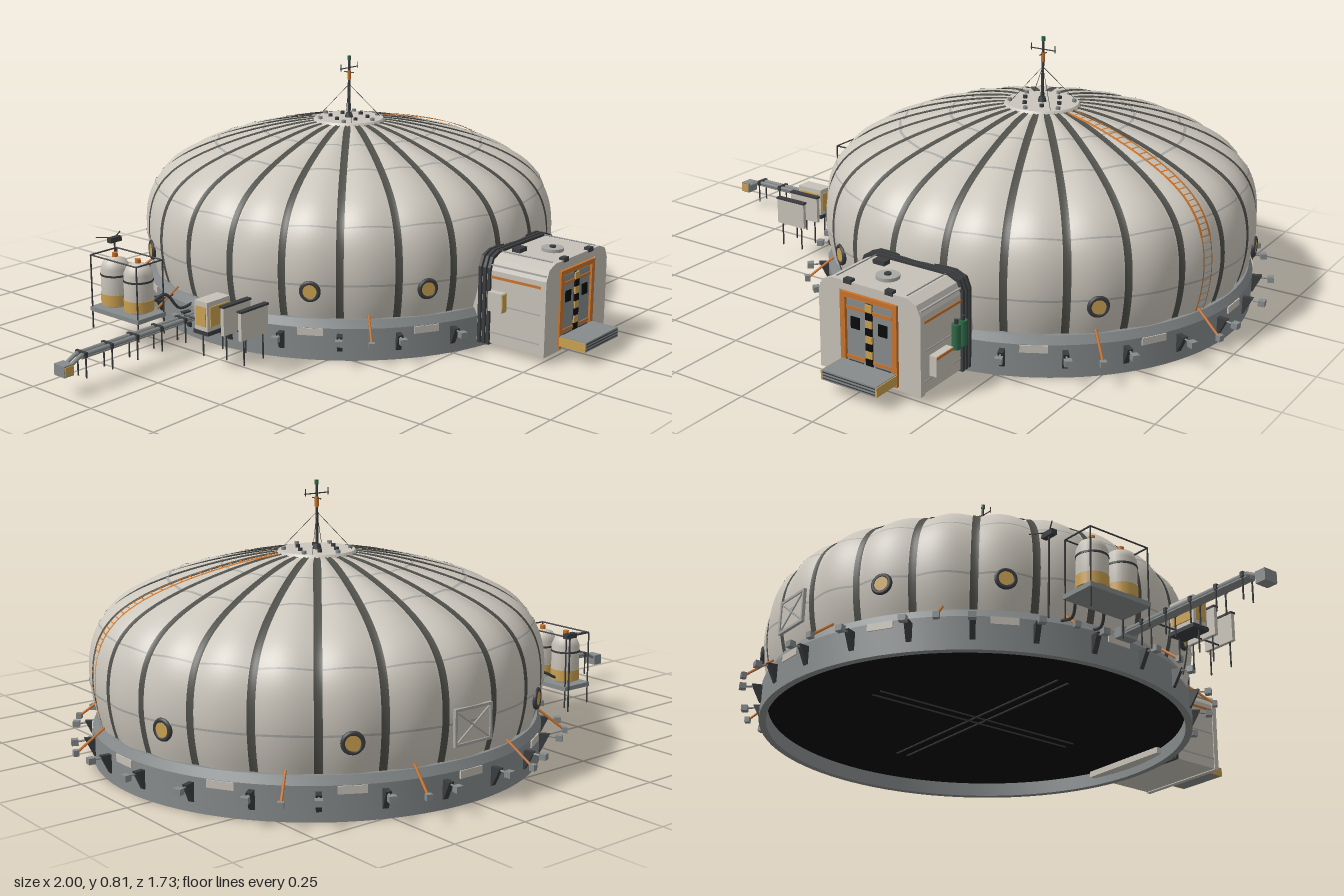
import * as THREE from 'three';
import { toCreasedNormals } from 'three/addons/utils/BufferGeometryUtils.js';

const mat = (name, color, side = THREE.FrontSide) => {
  const m = new THREE.MeshStandardMaterial({ color, side });
  m.name = name;
  return m;
};

export function createModel() {
  const D = THREE.DoubleSide;
  const fabric = mat('fabric', 0xcbc6bc, D), strapGrey = mat('strapGrey', 0x50504b, D);
  const steel = mat('steel', 0x878b8c), pale = mat('palePanel', 0xc6c1b8);
  const dark = mat('dark', 0x3a3c3e), black = mat('black', 0x0a0a0a);
  const orange = mat('orange', 0xc8732c, D), yellow = mat('yellow', 0xc9a050);
  const green = mat('green', 0x2f6b48), seamGrey = mat('seamGrey', 0xa8a9a4, D);

  const model = new THREE.Group();
  model.name = 'habitat';
  const group = (name, parent, x = 0, y = 0, z = 0) => {
    const g = new THREE.Group();
    g.name = name;
    g.position.set(x, y, z);
    parent.add(g);
    return g;
  };
  const add = (parent, name, geo, m, x = 0, y = 0, z = 0) => {
    const mesh = new THREE.Mesh(geo, m);
    mesh.name = name;
    mesh.position.set(x, y, z);
    parent.add(mesh);
    return mesh;
  };
  const box = (p, name, m, w, h, d, x, y, z) => add(p, name, new THREE.BoxGeometry(w, h, d), m, x, y, z);
  const cyl = (p, name, m, r, h, x, y, z, r2 = r, n = 20) => add(p, name, new THREE.CylinderGeometry(r2, r, h, n), m, x, y, z);
  const rod = (p, name, m, a, b, r = 0.003) => {
    const A = new THREE.Vector3(...a), B = new THREE.Vector3(...b), d = B.clone().sub(A);
    const mesh = add(p, name, new THREE.CylinderGeometry(r, r, d.length(), 6), m);
    mesh.position.copy(A).add(B).multiplyScalar(0.5);
    mesh.quaternion.setFromUnitVectors(new THREE.Vector3(0, 1, 0), d.normalize());
    return mesh;
  };
  const extrude = (pts, depth, hole) => {
    const s = new THREE.Shape(pts.map(p => new THREE.Vector2(...p)));
    if (hole) s.holes.push(new THREE.Path(hole.map(p => new THREE.Vector2(...p))));
    return new THREE.ExtrudeGeometry(s, { depth, bevelEnabled: false });
  };
  const rect = (x0, y0, x1, y1) => [[x0, y0], [x1, y0], [x1, y1], [x0, y1]];

  // Everything on the dome is placed around its axis; angles run from the front towards +x
  const dome = group('dome', model, 0.26, 0, -0.13);
  const rad = THREE.MathUtils.degToRad;
  const radial = (name, deg) => {
    const g = group(name, dome);
    g.rotation.y = rad(deg);
    return g;
  };

  // Dome surface: a profile swept round with 24 bulging gores
  const profile = new THREE.CatmullRomCurve3([
    [0.65, 0.1], [0.671, 0.18], [0.68, 0.26], [0.672, 0.34], [0.649, 0.4], [0.607, 0.45],
    [0.54, 0.493], [0.44, 0.533], [0.33, 0.564], [0.22, 0.587], [0.12, 0.6], [0, 0.605],
  ].map(([r, y]) => new THREE.Vector3(r, y, 0)));
  const surf = (t, th, lift = 0) => {
    const p = profile.getPoint(t), n = profile.getTangent(t);
    const dip = 1 - Math.abs(Math.cos(12 * th));
    const r = p.x * (1 - 0.018 * dip) + n.y * lift;
    const y = p.y - 0.01 * dip * Math.sin(Math.PI * t) - n.x * lift;
    return [r * Math.sin(th), y, r * Math.cos(th)];
  };
  const grid = (fn, nu, nv) => {
    const pos = [], idx = [];
    for (let i = 0; i <= nu; i++) for (let j = 0; j <= nv; j++) {
      pos.push(...fn(i / nu, j / nv));
      if (i < nu && j < nv) {
        const a = i * (nv + 1) + j, c = a + nv + 1;
        idx.push(a, a + 1, c, a + 1, c + 1, c);
      }
    }
    const g = new THREE.BufferGeometry();
    g.setAttribute('position', new THREE.Float32BufferAttribute(pos, 3));
    g.setIndex(idx);
    g.computeVertexNormals();
    return g;
  };
  const start = rad(7.5), turn = Math.PI * 2;
  add(dome, 'domeSkin', grid((u, v) => surf(u, start + v * turn), 44, 240), fabric);
  for (const t of [0.15, 0.37, 0.63, 0.76])
    add(dome, 'seamRing', grid((u, v) => surf(t + u * 0.007, start + v * turn, 0.002), 1, 240), seamGrey);
  const ribbon = (name, deg, m, off, w, t0, t1, lift, n = 36) =>
    add(dome, name, grid((u, v) => {
      const t = t0 + (t1 - t0) * u, r = Math.max(profile.getPoint(t).x, 0.02);
      return surf(t, rad(deg) + (off + (v * 2 - 1) * Math.min(w, r * 0.07)) / r, lift);
    }, n, 2), m);
  for (let i = 0; i < 24; i++) ribbon('strap', i * 15 + 7.5, strapGrey, 0, 0.0115, 0.01, 0.91, 0.004);

  // Ladder over the dome, lighter on its lower run
  for (const s of [-1, 1]) {
    ribbon('ladderRail', 75, orange, s * 0.017, 0.004, 0.3, 0.9, 0.008);
    ribbon('lowerLadderRail', 75, orange, s * 0.017, 0.002, 0.04, 0.3, 0.008);
  }
  for (let i = 0; i < 34; i++) {
    const t = 0.05 + i * 0.025;
    ribbon('ladderRung', 75, t < 0.3 ? seamGrey : orange, 0, 0.016, t, t + 0.004, 0.007, 1);
  }

  // Foundation ring, open below, with a recessed floor and crossed floor rails
  const ring = [[0.65, 0.06], [0.652, 0], [0.674, 0], [0.674, 0.1], [0.662, 0.125], [0.63, 0.125]].map(p => new THREE.Vector2(...p));
  add(dome, 'foundationRing', toCreasedNormals(new THREE.LatheGeometry(ring, 96), 0.4), steel);
  add(dome, 'underside', new THREE.CircleGeometry(0.652, 64), black, 0, 0.045, 0).rotation.x = Math.PI / 2;
  for (const s of [-0.02, 0.02]) {
    box(dome, 'floorRail', dark, 0.85, 0.004, 0.006, 0, 0.044, s);
    box(dome, 'floorRail', dark, 0.006, 0.004, 0.75, s, 0.044, 0);
  }

  // Anchors at each strap, plates between them
  const bracket = extrude([[0.668, 0.03], [0.678, 0.03], [0.705, 0.085], [0.668, 0.085]], 0.016);
  for (let i = 0; i < 24; i++) {
    const deg = i * 15 + 7.5;
    if (deg > 20 && deg < 340) {
      const g = radial('anchor', deg);
      add(g, 'bracket', bracket, dark, 0.008, 0, 0).rotation.y = -Math.PI / 2;
      box(g, 'anchorFoot', steel, 0.022, 0.018, 0.02, 0, 0.075, 0.732);
      rod(g, 'anchorPin', steel, [0, 0.082, 0.66], [0, 0.075, 0.732]);
    }
    if (i % 2 === 0 && i) box(radial('ringPlate', i * 15), 'plate', pale, 0.08, 0.022, 0.008, 0, 0.088, 0.673);
  }
  for (const deg of [45, 75, 135, 165, 195, 225, 255, 285, 315]) {
    const g = radial('brace', deg);
    rod(g, 'braceRod', orange, [0, 0.14, 0.655], [0, 0.075, 0.74], 0.004);
    box(g, 'braceFoot', steel, 0.018, 0.018, 0.016, 0, 0.072, 0.745);
  }

  // Portholes
  for (const deg of [-60, -30, 45, 105, 150, 210, 240]) {
    const g = radial('porthole', deg);
    add(g, 'portRim', new THREE.TorusGeometry(0.026, 0.007, 8, 28), dark, 0, 0.215, 0.679);
    cyl(g, 'portGlass', yellow, 0.023, 0.016, 0, 0.215, 0.676).rotation.x = Math.PI / 2;
  }

  // Service panel on the back
  const patch = radial('servicePanel', 180);
  add(patch, 'panelFrame', extrude(rect(-0.068, 0.17, 0.068, 0.275), 0.01, rect(-0.06, 0.178, 0.06, 0.267)), seamGrey, 0, 0, 0.674);
  box(patch, 'panelSheet', pale, 0.122, 0.09, 0.008, 0, 0.2225, 0.676);
  for (const s of [-1, 1]) rod(patch, 'panelCross', seamGrey, [-0.058 * s, 0.18, 0.681], [0.058 * s, 0.265, 0.681]);

  // Crown cap with vents, mast and guy lines
  cyl(dome, 'crownCap', fabric, 0.122, 0.012, 0, 0.603, 0, 0.114, 48);
  for (let i = 0; i < 12; i++) cyl(radial('vent', i * 30), 'ventCap', i % 2 ? dark : steel, 0.007, 0.01, 0, 0.613, i % 2 ? 0.062 : 0.1);
  cyl(dome, 'mastBase', dark, 0.014, 0.016, 0, 0.616, 0, 0.01);
  cyl(dome, 'mast', dark, 0.005, 0.19, 0, 0.71, 0, 0.004, 10);
  cyl(dome, 'mastBand', orange, 0.006, 0.03, 0, 0.75, 0);
  cyl(dome, 'beacon', green, 0.006, 0.014, 0, 0.808, 0);
  rod(dome, 'crossArm', dark, [-0.045, 0.775, 0], [0.045, 0.775, 0], 0.0018);
  rod(dome, 'crossArm', dark, [0, 0.76, -0.02], [0, 0.76, 0.02], 0.0018);
  for (const s of [-1, 1]) rod(dome, 'armTip', dark, [s * 0.042, 0.768, 0], [s * 0.042, 0.79, 0], 0.0015);
  for (let i = 0; i < 4; i++) rod(radial('guy', i * 90 + 45), 'guyLine', dark, [0, 0.72, 0], [0, 0.61, 0.105], 0.0008);

  // Airlock
  const lock = group('airlock', model, 0.26, 0, 0);
  const hull = (w, y0, y1, c) => [[-w, y0], [w, y0], [w, y1 - c], [w - c * 0.3, y1 - c * 0.3], [w - c, y1],
    [c - w, y1], [c * 0.3 - w, y1 - c * 0.3], [-w, y1 - c]];
  add(lock, 'airlockBody', extrude(hull(0.17, 0.025, 0.3, 0.045), 0.27), pale, 0, 0, 0.48);
  for (let i = 0; i < 3; i++)
    add(lock, 'bellows', extrude(hull(0.178, 0.02, 0.308, 0.046), 0.01), dark, 0, 0, 0.528 + i * 0.016);
  add(lock, 'frontFrame', extrude(hull(0.173, 0.022, 0.303, 0.046), 0.018, rect(-0.1, 0.03, 0.1, 0.275)), pale, 0, 0, 0.746);
  box(lock, 'doorRecess', dark, 0.2, 0.245, 0.006, 0, 0.1525, 0.751);
  add(lock, 'doorFrame', extrude(rect(-0.096, 0.03, 0.096, 0.272), 0.016, rect(-0.08, 0.03, 0.08, 0.257)), orange, 0, 0, 0.752);
  for (const s of [-1, 1]) {
    box(lock, 'doorLeaf', steel, 0.064, 0.215, 0.008, s * 0.045, 0.145, 0.758);
    box(lock, 'doorWindow', black, 0.03, 0.035, 0.004, s * 0.047, 0.185, 0.763);
    for (const y of [0.08, 0.228]) box(lock, 'doorRail', orange, 0.064, 0.009, 0.004, s * 0.045, y, 0.763);
    box(lock, 'doorKick', dark, 0.05, 0.03, 0.004, s * 0.046, 0.055, 0.763);
    box(lock, 'frontLamp', dark, 0.026, 0.014, 0.018, s * 0.07, 0.304, 0.758);
    rod(lock, 'roofRail', steel, [s * 0.12, 0.304, 0.57], [s * 0.12, 0.304, 0.75], 0.002);
    box(lock, 'sideStripe', orange, 0.006, 0.008, 0.19, s * 0.169, 0.235, 0.665);
    for (const y of [0.06, 0.15, 0.272]) box(lock, 'sideSeam', seamGrey, 0.006, 0.004, 0.19, s * 0.1685, y, 0.665);
    box(lock, 'stepSide', yellow, 0.006, 0.028, 0.09, s * 0.093, 0.054, 0.813);
  }
  for (let i = 0; i < 9; i++) box(lock, 'hazardBlock', i % 2 ? black : yellow, 0.022, 0.022, 0.005, 0, 0.055 + i * 0.023, 0.764);
  cyl(lock, 'roofHatch', seamGrey, 0.034, 0.012, 0, 0.304, 0.675);
  cyl(lock, 'hatchKnob', dark, 0.01, 0.018, 0, 0.306, 0.675);
  box(lock, 'roofBox', dark, 0.04, 0.016, 0.028, -0.075, 0.305, 0.605);
  box(lock, 'stepPlatform', steel, 0.186, 0.03, 0.09, 0, 0.055, 0.813);
  for (let i = 0; i < 3; i++) box(lock, 'stepGroove', dark, 0.18, 0.003, 0.004, 0, 0.046 + i * 0.009, 0.857);
  box(lock, 'sidePanel', pale, 0.026, 0.06, 0.08, 0.18, 0.1, 0.68);
  box(lock, 'sidePanelTrim', orange, 0.004, 0.008, 0.08, 0.193, 0.125, 0.68);
  for (const z of [0.58, 0.612]) {
    cyl(lock, 'gasBottle', green, 0.013, 0.075, 0.184, 0.148, z);
    cyl(lock, 'bottleValve', dark, 0.006, 0.014, 0.184, 0.192, z);
  }
  box(lock, 'supplyBox', pale, 0.025, 0.06, 0.05, -0.183, 0.165, 0.6);
  box(lock, 'supplyBoxFace', yellow, 0.022, 0.055, 0.006, -0.184, 0.165, 0.625);

  // Tank skid
  const skid = group('tankSkid', model, -0.577, 0, -0.315);
  box(skid, 'skidDeck', steel, 0.115, 0.014, 0.215, 0, 0.103, 0);
  for (const x of [-0.053, 0.053]) {
    for (const z of [-0.103, 0.103]) rod(skid, 'skidPost', dark, [x, 0.04, z], [x, 0.275, z], 0.0025);
    rod(skid, 'skidTopRail', dark, [x, 0.275, -0.103], [x, 0.275, 0.103], 0.0025);
  }
  for (const z of [-0.103, 0.103]) rod(skid, 'skidTopRail', dark, [-0.053, 0.275, z], [0.053, 0.275, z], 0.0025);
  for (const z of [-0.052, 0.052]) {
    const pts = [[0.03, 0.112], [0.045, 0.125], [0.045, 0.235], [0.035, 0.258], [0.012, 0.268], [0, 0.268]];
    add(skid, 'tank', new THREE.LatheGeometry(pts.map(p => new THREE.Vector2(...p)), 28), fabric, 0, 0, z);
    cyl(skid, 'tankBand', yellow, 0.0465, 0.035, 0, 0.138, z, 0.0465, 28);
    cyl(skid, 'tankBand', dark, 0.0465, 0.006, 0, 0.215, z, 0.0465, 28);
    cyl(skid, 'tankValve', orange, 0.009, 0.016, 0, 0.273, z);
    const hose = new THREE.CatmullRomCurve3([[0.045, 0.13, z], [0.09, 0.15, z + 0.02], [0.13, 0.1, z + 0.04], [0.19, 0.11, z + 0.05]].map(p => new THREE.Vector3(...p)));
    add(skid, 'hose', new THREE.TubeGeometry(hose, 16, 0.0045, 8), dark);
  }

  // Weather pole behind the skid
  const pole = group('weatherPole', model, -0.5, 0, -0.455);
  rod(pole, 'pole', dark, [0, 0.04, 0], [0, 0.3, 0]);
  box(pole, 'poleBox', dark, 0.045, 0.016, 0.018, 0, 0.29, 0);
  for (const s of [-1, 1]) rod(pole, 'poleArm', dark, [0, 0.295, 0], [s * 0.05, 0.3, -0.03], 0.0018);

  // Pipeline running out to an end box
  const line = group('pipeline', model, 0, 0, -0.13);
  for (const z of [-0.011, 0.011]) {
    rod(line, 'pipe', steel, [-0.4, 0.105, z], [-0.93, 0.105, z], 0.007);
    rod(line, 'pipeEnd', steel, [-0.93, 0.105, z], [-0.98, 0.08, z], 0.006);
  }
  box(line, 'pipeTray', steel, 0.5, 0.004, 0.034, -0.68, 0.097, 0);
  box(line, 'pipeFlange', steel, 0.03, 0.03, 0.06, -0.445, 0.1, 0);
  for (let i = 0; i < 5; i++) {
    const x = -0.53 - i * 0.097;
    box(line, 'pipeClamp', dark, 0.01, 0.016, 0.044, x, 0.105, 0);
    for (const z of [-0.018, 0.018]) rod(line, 'pipeLeg', dark, [x, 0.1, z], [x, 0.035, z], 0.0025);
  }
  box(line, 'endBox', steel, 0.034, 0.034, 0.044, -0.983, 0.077, 0);
  box(line, 'endBoxFace', yellow, 0.03, 0.026, 0.006, -0.983, 0.077, 0.022);

  // Power unit with two radiator panels
  const power = group('powerUnit', model, -0.525, 0, 0);
  box(power, 'unitBox', pale, 0.095, 0.09, 0.052, -0.02, 0.165, 0.02);
  for (const z of [-0.008, 0.048]) box(power, 'unitFace', yellow, 0.075, 0.06, 0.004, -0.02, 0.165, z);
  for (const x of [-0.068, 0.028]) box(power, 'unitFace', yellow, 0.004, 0.06, 0.04, x, 0.165, 0.02);
  box(power, 'unitBase', dark, 0.1, 0.012, 0.06, -0.02, 0.115, 0.02);
  for (const z of [0.095, 0.165]) {
    box(power, 'radiator', pale, 0.112, 0.085, 0.012, 0, 0.16, z);
    box(power, 'radiatorBar', dark, 0.116, 0.006, 0.018, 0, 0.205, z);
    for (const x of [-0.04, 0.04]) rod(power, 'radiatorLeg', dark, [x, 0.04, z], [x, 0.12, z], 0.0025);
  }
  rod(power, 'coolantPipe', dark, [0, 0.12, -0.12], [0, 0.12, 0.165]);
  for (const x of [-0.06, 0.02]) rod(power, 'unitLeg', dark, [x, 0.04, 0.02], [x, 0.12, 0.02], 0.0025);

  return model;
}
